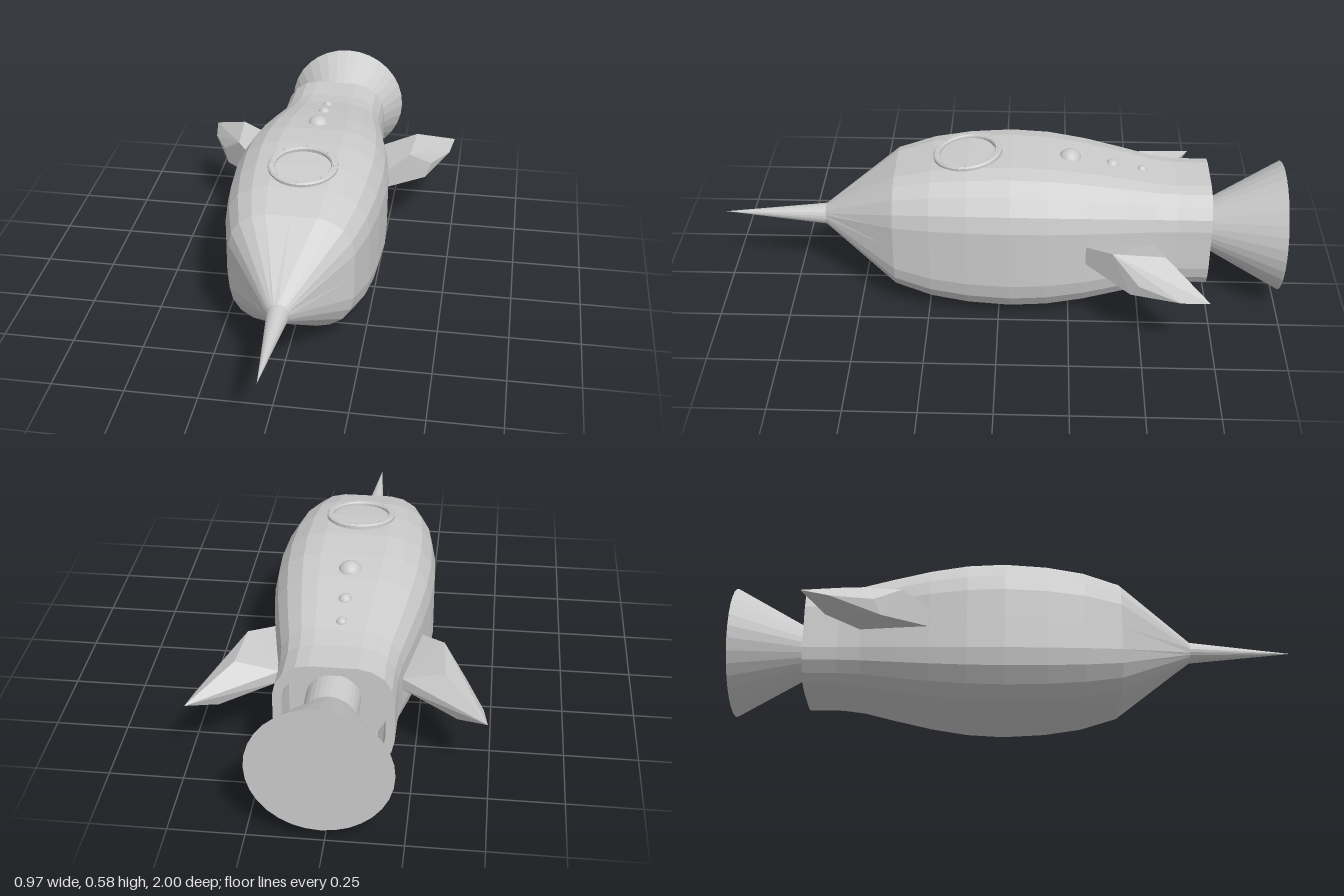
import * as THREE from 'three';
import { ConvexGeometry } from 'three/addons/geometries/ConvexGeometry.js';

const AXIS_Y = 0.2825;
const material = new THREE.MeshStandardMaterial({ color: 0xcccccc, flatShading: true, side: THREE.DoubleSide });
const smooth = new THREE.MeshStandardMaterial({ color: 0xcccccc });

function add(parent, name, geometry, mat = material) {
  const mesh = new THREE.Mesh(geometry, mat);
  mesh.name = name;
  parent.add(mesh);
  return mesh;
}

// Rounded-square section: one quarter, turned four times
const QUARTER = [[1, 0], [1, 0.4], [0.95, 0.62], [0.82, 0.82], [0.62, 0.95], [0.4, 1]];
const SECTION = [];
for (let q = 0; q < 4; q++) {
  for (const [x, y] of QUARTER) {
    SECTION.push(new THREE.Vector2(x, y).rotateAround(new THREE.Vector2(), q * Math.PI / 2));
  }
}

// Skin through [z, half size, round?] stations running from nose to tail
function hullGeometry(stations) {
  const positions = [], index = [], n = SECTION.length;
  stations.forEach(([z, r, round], s) => {
    SECTION.forEach((p, i) => {
      const k = round ? r / p.length() : r;
      positions.push(p.x * k, AXIS_Y + p.y * k, z);
      if (s === 0) return;
      const a = (s - 1) * n + i, b = (s - 1) * n + (i + 1) % n;
      index.push(a, a + n, b, b, a + n, b + n);
    });
  });
  const g = new THREE.BufferGeometry();
  g.setAttribute('position', new THREE.Float32BufferAttribute(positions, 3));
  g.setIndex(index);
  g.computeVertexNormals();
  return g;
}

export function createModel() {
  const model = new THREE.Group();
  model.name = 'rocket';

  // Hull, folding inward at the tail to form the engine recess
  add(model, 'hull', hullGeometry([
    [0.63, 0.038, true], [0.37, 0.216], [0.24, 0.252], [0.11, 0.27], [-0.04, 0.278],
    [-0.17, 0.272], [-0.3, 0.254], [-0.43, 0.228], [-0.54, 0.204], [-0.62, 0.195], [-0.74, 0.195],
    [-0.74, 0.165], [-0.62, 0.16], [-0.62, 0.001]
  ]));

  // Nose spike
  const spike = add(model, 'noseSpike', new THREE.ConeGeometry(0.038, 0.37, 20));
  spike.rotation.x = Math.PI / 2;
  spike.position.set(0, AXIS_Y, 0.815);

  // Engine: neck in the recess and flared bell with a closed mouth
  const engine = new THREE.Group();
  engine.name = 'engine';
  engine.position.set(0.014, 0.276, 0);
  model.add(engine);
  const neck = add(engine, 'engineNeck', new THREE.CylinderGeometry(0.09, 0.09, 0.14, 32));
  neck.rotation.x = Math.PI / 2;
  neck.position.z = -0.67;
  const bell = add(engine, 'engineBell', new THREE.CylinderGeometry(0.088, 0.232, 0.26, 32));
  bell.rotation.x = Math.PI / 2;
  bell.position.z = -0.87;

  // Porthole lying on the roof: ring and bolts
  const porthole = new THREE.Group();
  porthole.name = 'porthole';
  porthole.position.set(0, 0.552, 0.115);
  porthole.rotation.x = 0.11;
  model.add(porthole);
  const ringProfile = [[0.098, -0.03], [0.122, -0.03], [0.122, 0.006], [0.117, 0.011], [0.102, 0.011], [0.098, 0.006], [0.098, -0.03]];
  add(porthole, 'portholeRing', new THREE.LatheGeometry(ringProfile.map(p => new THREE.Vector2(...p)), 32));
  for (let i = 0; i < 8; i++) {
    const a = i * Math.PI / 4;
    const bolt = add(porthole, 'portholeBolt', new THREE.SphereGeometry(0.005, 10, 6), smooth);
    bolt.position.set(0.11 * Math.cos(a), 0.011, 0.11 * Math.sin(a));
  }

  // Row of roof lights, shrinking toward the tail
  for (const [z, r, y] of [[-0.245, 0.041, 0.528], [-0.395, 0.024, 0.508], [-0.5, 0.019, 0.489]]) {
    add(model, 'roofLight', new THREE.SphereGeometry(r, 24, 16), smooth).position.set(0, y, z);
  }

  // Swept faceted fins, mirrored
  const finPoints = [
    [0.2, 0.31, -0.245], [0.2, 0.27, -0.245], [0.2, 0.31, -0.54], [0.2, 0.27, -0.54],
    [0.332, 0.36, -0.39], [0.345, 0.36, -0.57],
    [0.39, 0.234, -0.455], [0.39, 0.234, -0.64],
    [0.41, 0.283, -0.48], [0.472, 0.263, -0.62], [0.487, 0.275, -0.715]
  ];
  for (const side of [1, -1]) {
    add(model, side > 0 ? 'leftFin' : 'rightFin',
      new ConvexGeometry(finPoints.map(([x, y, z]) => new THREE.Vector3(side * x, y, z))));
  }

  return model;
}
